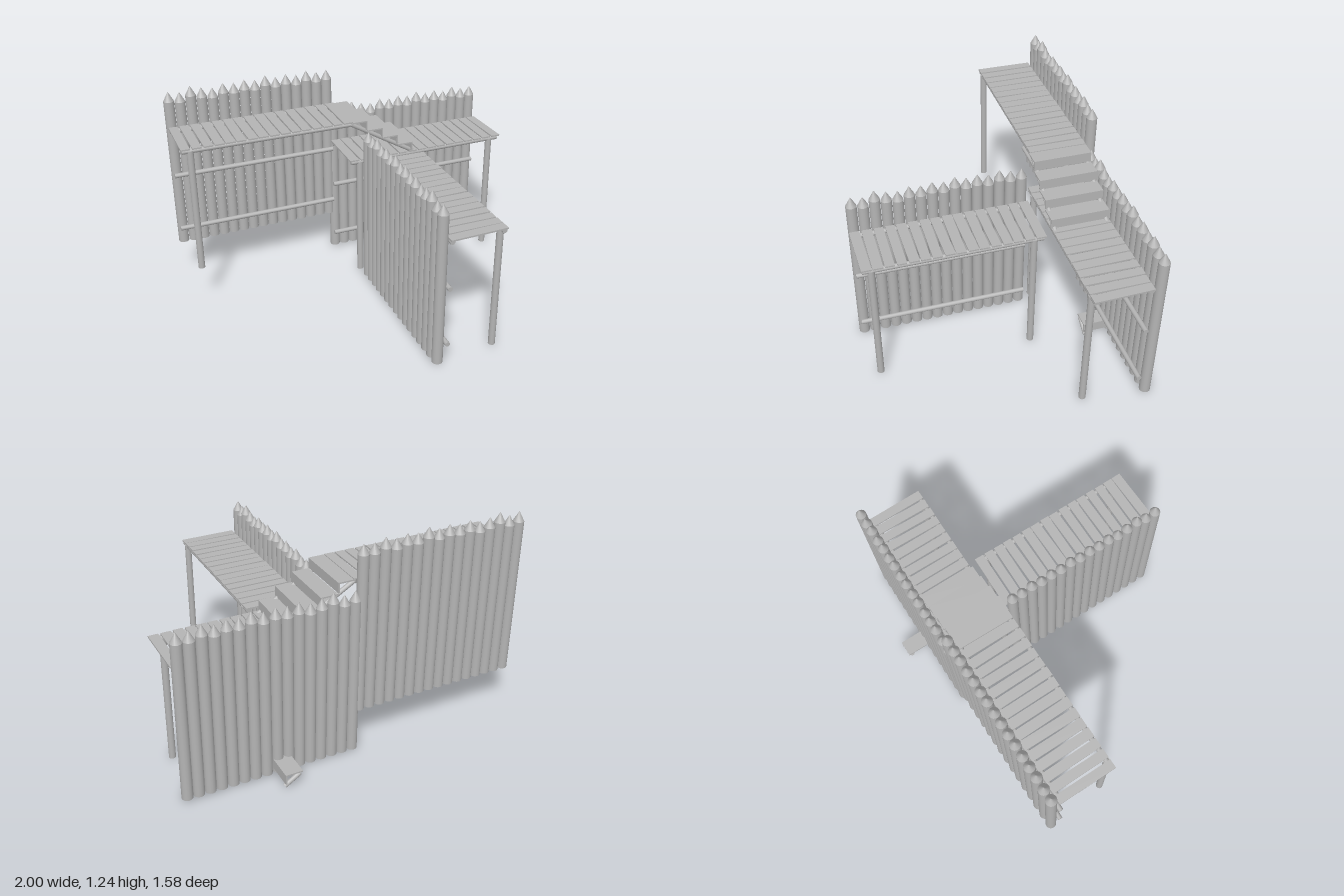
import * as THREE from 'three';
import { mergeGeometries } from 'three/addons/utils/BufferGeometryUtils.js';

const PITCH = 0.0635, COUNT = 16;
// small tip-height differences along each wall
const TIPS = [0, -0.01, 0.018, 0, -0.01, 0.008, 0, 0.01, 0, 0.018, 0, 0.008, -0.005, 0.012, -0.005, 0];

export function createModel() {
  const model = new THREE.Group();
  const wood = new THREE.MeshStandardMaterial({ color: 0xb4b4b4 });
  wood.name = 'grey wood';

  let seed = 7;
  const jitter = () => {
    seed = (seed * 16807) % 2147483647;
    return seed / 2147483647 - 0.5;
  };

  function add(parent, name, geometry, x = 0, y = 0, z = 0) {
    const mesh = new THREE.Mesh(geometry, wood);
    mesh.name = name;
    mesh.position.set(x, y, z);
    parent.add(mesh);
    return mesh;
  }

  // round pole between two points
  function pole(parent, name, a, b, r) {
    const from = new THREE.Vector3(...a), to = new THREE.Vector3(...b);
    const dir = to.clone().sub(from);
    const mesh = add(parent, name, new THREE.CylinderGeometry(r, r, dir.length(), 12));
    mesh.position.copy(from).add(to).multiplyScalar(0.5);
    mesh.quaternion.setFromUnitVectors(new THREE.Vector3(0, 1, 0), dir.normalize());
  }

  // upright log with a pointed top
  function logGeometry(height) {
    const tip = 0.056, r = 0.0305;
    const trunk = new THREE.CylinderGeometry(r, r, height - tip, 14);
    trunk.translate(0, (height - tip) / 2, 0);
    const point = new THREE.ConeGeometry(r, tip, 14, 1, true);
    point.translate(0, height - tip / 2, 0);
    return mergeGeometries([trunk, point]);
  }

  // Palisade along local +x from 0 to 1, walkway on the local +z side.
  // Logs stand on the line z = 0 with their feet at y = 0.
  function section(name, postXs) {
    const group = new THREE.Group();
    group.name = name;
    for (let i = 0; i < COUNT; i++) {
      const x = 0.0235 + i * PITCH;
      add(group, 'palisadeLog', logGeometry(0.967 + TIPS[i]), x, 0, 0);
      const plank = add(group, 'walkwayPlank',
        new THREE.BoxGeometry(0.054 + jitter() * 0.006, 0.009, 0.33 + jitter() * 0.006), x, 0.76, 0.203);
      plank.rotation.y = jitter() * 0.035;
    }
    for (const y of [0.11, 0.463, 0.745]) {
      pole(group, 'wallRail', [0.003, y, 0.05], [0.99, y, 0.05], 0.014);
    }
    pole(group, 'walkwayBeam', [0.003, 0.745, 0.352], [0.99, 0.745, 0.352], 0.014);
    for (const x of postXs) pole(group, 'walkwayPost', [x, 0, 0.352], [x, 0.748, 0.352], 0.0195);
    model.add(group);
    return group;
  }

  section('upperWall', [0.05]).position.set(-0.996, 0.26, -0.63);
  section('lowerWall', [0.06, 0.935]).position.set(-0.006, 0.012, -0.63);
  const side = section('sideWall', [0.05, 0.935]);
  side.rotation.y = Math.PI / 2;
  side.position.set(0.075, 0.012, 0.785);

  // one step: tread with a riser facing +x, placed by its top outer edge
  function step(parent, x, y, z) {
    add(parent, 'tread', new THREE.BoxGeometry(0.098, 0.008, 0.335), x - 0.049, y - 0.004, z);
    add(parent, 'riser', new THREE.BoxGeometry(0.008, 0.058, 0.335), x - 0.004, y - 0.029, z);
  }

  // stairs joining the two walkways
  const stairs = new THREE.Group();
  stairs.name = 'stairs';
  model.add(stairs);
  for (let i = 0; i < 4; i++) step(stairs, 0.097 + i * 0.098, 1.02 - i * 0.0615, -0.425);
  for (const z of [-0.278, -0.577]) pole(stairs, 'stringer', [0, 1.005, z], [0.42, 0.757, z], 0.013);

  // loose step at the foot of the lower wall
  const loose = new THREE.Group();
  loose.name = 'looseStep';
  model.add(loose);
  step(loose, 0.492, 0.094, -0.625);
  for (const z of [-0.472, -0.77]) pole(loose, 'stringer', [0.4, 0.068, z], [0.487, 0.013, z], 0.013);

  return model;
}
